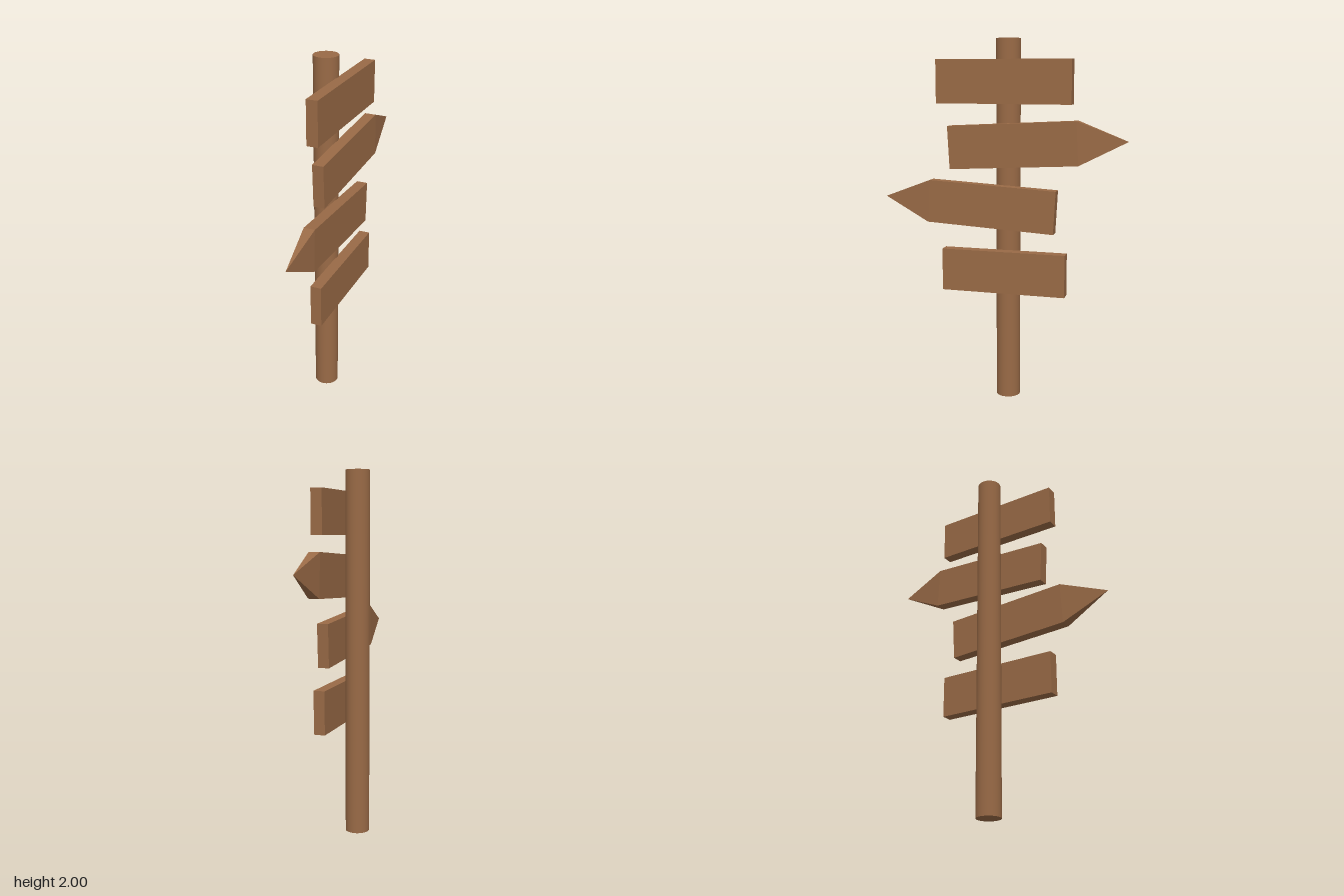
import * as THREE from 'three';
import { mergeGeometries } from 'three/addons/utils/BufferGeometryUtils.js';

const THICK = 0.061, HEIGHT = 0.234, BOARD_X = 0.0635;

// Plank with its tail at the origin and a four-sided point at +z
function arrowGeometry(body, tip) {
  const plank = new THREE.BoxGeometry(THICK, HEIGHT, body).translate(0, 0, body / 2).toNonIndexed();
  const point = new THREE.ConeGeometry(Math.SQRT1_2, 1, 4, 1, true)
    .rotateY(Math.PI / 4)
    .rotateX(Math.PI / 2)
    .scale(THICK, HEIGHT, tip)
    .translate(0, 0, body + tip / 2)
    .toNonIndexed();
  point.computeVertexNormals();
  return mergeGeometries([plank, point]);
}

export function createModel() {
  const model = new THREE.Group();
  model.name = 'signpost';
  const wood = new THREE.MeshStandardMaterial({ color: 0x996a46 });
  wood.name = 'brown wood';

  const add = (name, geometry, x, y, z) => {
    const mesh = new THREE.Mesh(geometry, wood);
    mesh.name = name;
    mesh.position.set(x, y, z);
    model.add(mesh);
    return mesh;
  };

  // Round post
  add('post', new THREE.CylinderGeometry(0.0665, 0.0665, 2, 32), -0.029, 1, -0.007);

  // Plain rectangular boards
  add('topBoard', new THREE.BoxGeometry(THICK, HEIGHT, 0.743), BOARD_X, 1.773, -0.006);
  add('bottomBoard', new THREE.BoxGeometry(THICK, HEIGHT, 0.692), BOARD_X, 0.739, -0.006);

  // Pointed boards, tilted slightly upward toward the tip
  const arrow = arrowGeometry(0.71, 0.264);
  const tilt = 0.053;
  add('backArrowBoard', arrow, BOARD_X, 1.418, 0.298).rotation.set(tilt, Math.PI, 0);
  add('frontArrowBoard', arrow, BOARD_X, 1.083, -0.293).rotation.set(-tilt, 0, 0);

  return model;
}
